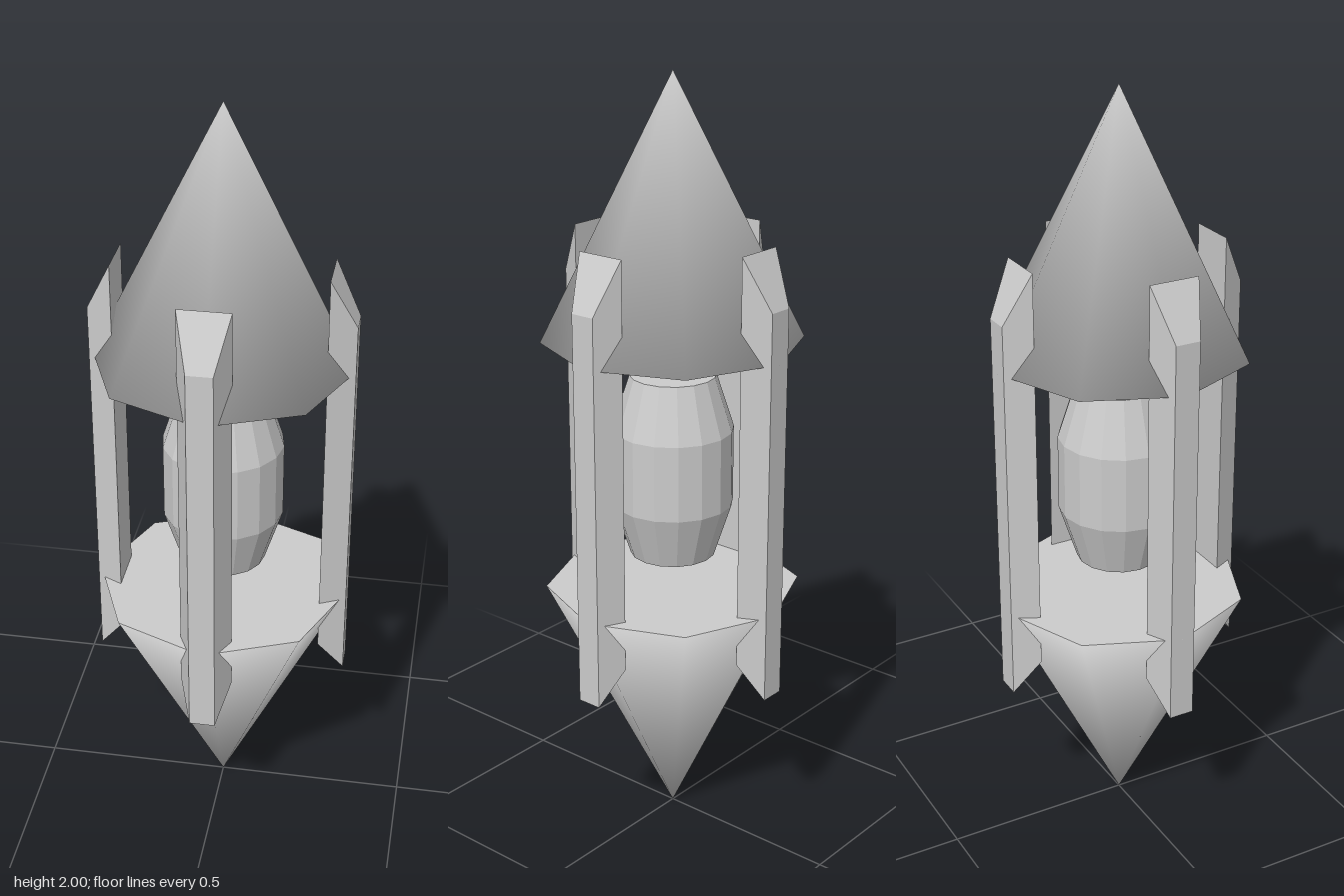
import * as THREE from 'three';

const smoothMat = new THREE.MeshStandardMaterial({ color: 0xcccccc });
const flatMat = new THREE.MeshStandardMaterial({ color: 0xcccccc, flatShading: true });

// Eight-sided cone with a flat base; its side normals bulge softly from tip to rim
function coneGeometry() {
  const height = 2 / 3;
  const geo = new THREE.ConeGeometry(1 / 3, height, 8);
  const pos = geo.attributes.position;
  const nor = geo.attributes.normal;
  const v = new THREE.Vector3();
  for (let i = 0; i < pos.count; i++) {
    if (nor.getY(i) < -0.9) continue; // base stays flat
    v.fromBufferAttribute(pos, i);
    v.y += height / 4; // direction away from the cone's centroid
    v.normalize();
    nor.setXYZ(i, v.x, v.y, v.z);
  }
  return geo;
}

// Tapered strut on the front side, with slanted ends
function strutGeometry() {
  const geo = new THREE.BoxGeometry(1, 1, 1);
  const pos = geo.attributes.position;
  for (let i = 0; i < pos.count; i++) {
    const outer = pos.getZ(i) > 0;
    const top = pos.getY(i) > 0;
    const y = top ? (outer ? 1.467 : 1.6) : (outer ? 0.44 : 0.533);
    pos.setXYZ(i, Math.sign(pos.getX(i)) * (outer ? 0.033 : 0.066), y, outer ? 0.333 : 0.266);
  }
  geo.computeVertexNormals();
  return geo;
}

export function createModel() {
  const model = new THREE.Group();
  model.name = 'lantern';

  const add = (name, geo, mat) => {
    const mesh = new THREE.Mesh(geo, mat);
    mesh.name = name;
    model.add(mesh);
    return mesh;
  };

  // Pointed caps above and below
  const cone = coneGeometry();
  add('upperCone', cone, smoothMat).position.y = 5 / 3;
  const lower = add('lowerCone', cone, smoothMat);
  lower.position.y = 1 / 3;
  lower.rotation.x = Math.PI;

  // Floating barrel-shaped core
  const profile = [[0, 0.757], [0.111, 0.757], [0.157, 0.9], [0.157, 1.1], [0.111, 1.243], [0, 1.243]]
    .map(([r, y]) => new THREE.Vector2(r, y));
  add('core', new THREE.LatheGeometry(profile, 16), flatMat);

  // Four struts joining the caps
  const strut = strutGeometry();
  ['front', 'left', 'back', 'right'].forEach((side, i) => {
    add(side + 'Strut', strut, flatMat).rotation.y = i * Math.PI / 2;
  });

  return model;
}
